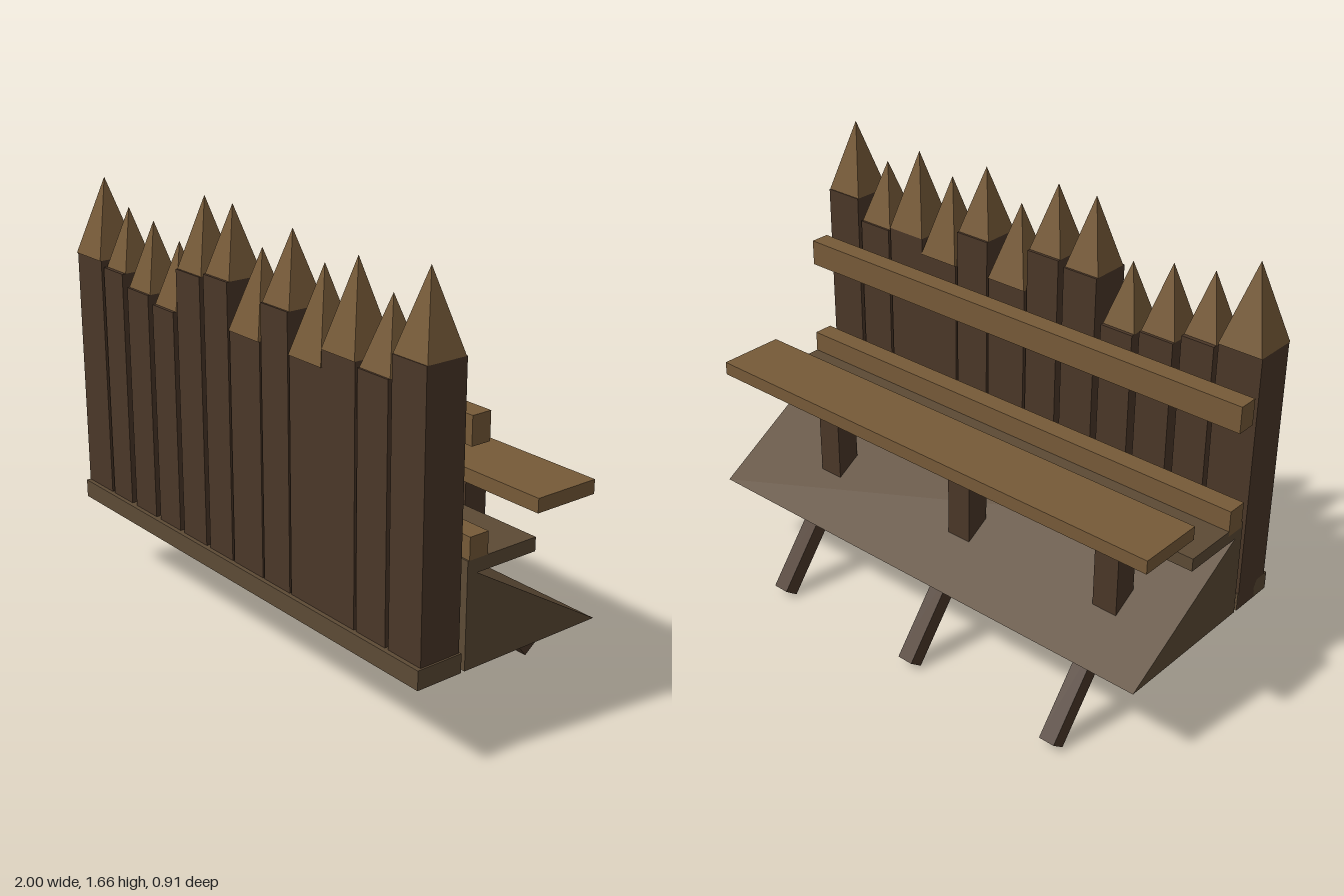
import * as THREE from 'three';

const mat = (color) => new THREE.MeshStandardMaterial({ color, flatShading: true, roughness: 0.9 });

export function createModel() {
  const group = new THREE.Group();
  const dark = mat(0x4a3728), mid = mat(0x5c4a35), light = mat(0x765a38);

  const add = (name, geometry, material) => {
    const mesh = new THREE.Mesh(geometry, material);
    mesh.name = name;
    group.add(mesh);
    return mesh;
  };
  // Box given by its x centre and width, and its y and z ranges
  const block = (name, material, x, w, y0, y1, z0, z1) => {
    const mesh = add(name, new THREE.BoxGeometry(w, y1 - y0, z1 - z0), material);
    mesh.position.set(x, (y0 + y1) / 2, (z0 + z1) / 2);
    return mesh;
  };

  // Pointed stakes: width, shoulder height, tip height
  const stakes = [
    [0.17, 1.326, 1.62], [0.13, 1.305, 1.535], [0.14, 1.262, 1.513], [0.135, 1.235, 1.47],
    [0.145, 1.4, 1.663], [0.14, 1.417, 1.663], [0.17, 1.253, 1.545], [0.145, 1.39, 1.64],
    [0.17, 1.25, 1.56], [0.165, 1.31, 1.617], [0.145, 1.294, 1.535], [0.155, 1.38, 1.655],
  ];
  stakes.forEach(([w, top, tip], i) => {
    const x = -0.915 + i * 0.1664;
    block('stake', dark, x, w, 0.325, top, 0.277, 0.438);
    const point = new THREE.ConeGeometry(w / Math.SQRT2, tip - top, 4).rotateY(Math.PI / 4);
    add('stakePoint', point, light).position.set(x, (top + tip) / 2, 0.358);
  });

  // Sill beam, cross rails and the two planks
  block('sillBeam', mid, 0, 2, 0.325, 0.395, 0.272, 0.455);
  block('upperRail', light, 0, 2, 1.09, 1.19, 0.18, 0.256);
  block('lowerRail', light, 0, 2, 0.69, 0.79, 0.172, 0.25);
  block('stepPlank', mid, 0, 2, 0.66, 0.71, -0.04, 0.257);
  block('benchPlank', light, 0, 2, 0.79, 0.842, -0.305, -0.045);

  // Sloping earth bank behind the stakes
  const bank = new THREE.Shape([[0.257, 0.326], [0.257, 0.685], [-0.338, 0.326]]
    .map(([z, y]) => new THREE.Vector2(z, y)));
  const bankGeometry = new THREE.ExtrudeGeometry(bank, { depth: 2, bevelEnabled: false })
    .translate(0, 0, -1).rotateY(-Math.PI / 2);
  add('bank', bankGeometry, mid);

  // Bench posts and slanted braces
  const braceLength = 0.48, tilt = Math.atan2(0.615, 0.788);
  for (const x of [-0.735, -0.068, 0.598]) {
    block('benchPost', dark, x, 0.1, 0.38, 0.79, -0.155, -0.06);
    const brace = add('brace', new THREE.BoxGeometry(0.064, braceLength, 0.064), dark);
    brace.rotation.x = tilt;
    brace.position.set(x,
      0.025 + Math.cos(tilt) * braceLength / 2,
      -0.428 + Math.sin(tilt) * braceLength / 2);
  }

  return group;
}
